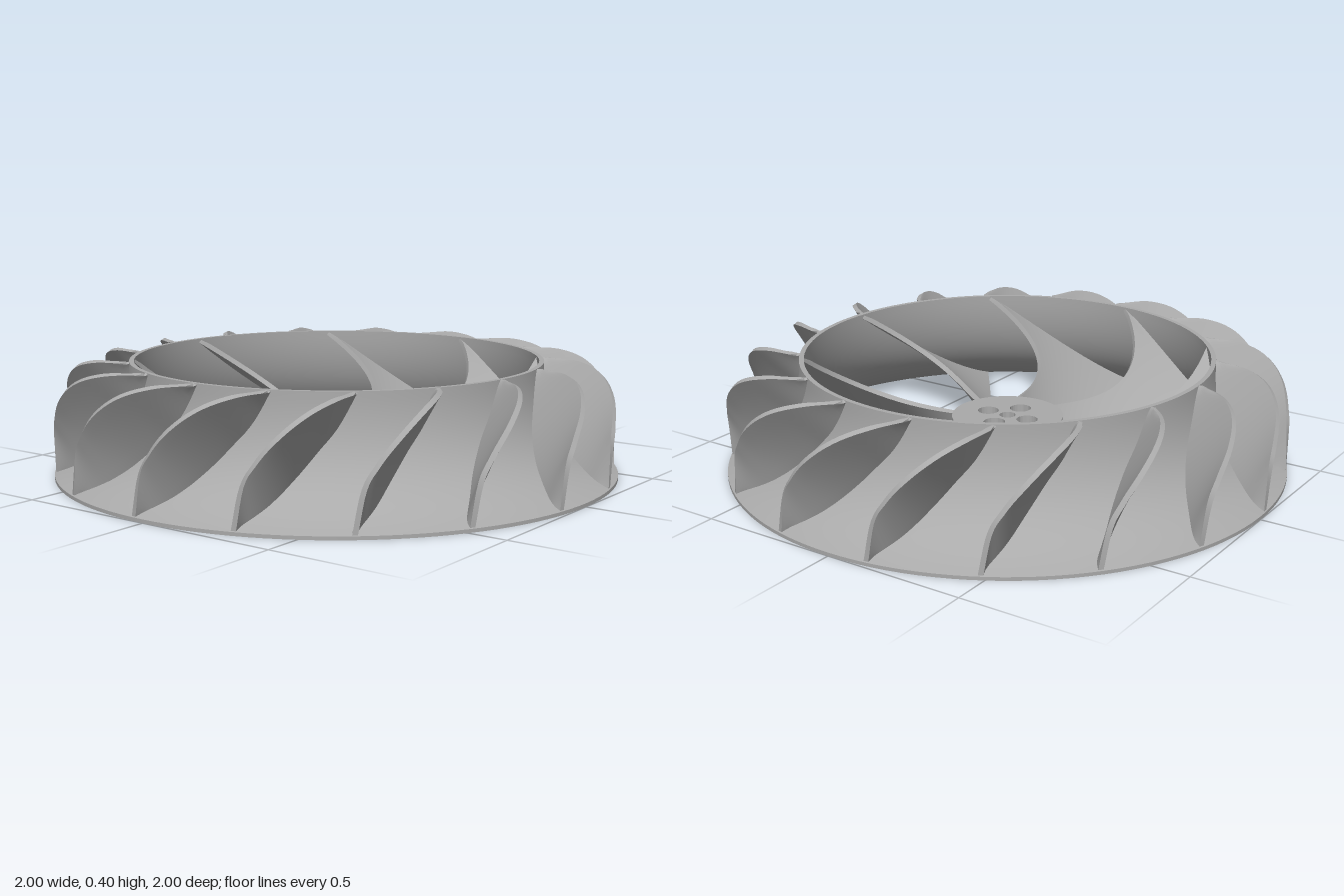
import * as THREE from 'three';
import { toCreasedNormals } from 'three/addons/utils/BufferGeometryUtils.js';

const rad = THREE.MathUtils.degToRad;
const lerp = THREE.MathUtils.lerp;
const HEIGHT = 0.4;

// Curved plate of even thickness around the surface f(u, v)
function plate(f, nu, nv, thickness) {
  const verts = [], index = [], e = 1e-3;
  const W = nv + 1, count = (nu + 1) * W;
  const sides = [[], []];
  for (let i = 0; i <= nu; i++) for (let j = 0; j <= nv; j++) {
    const u = i / nu, v = j / nv;
    const du = f(Math.min(1, u + e), v).sub(f(Math.max(0, u - e), v));
    const dv = f(u, Math.min(1, v + e)).sub(f(u, Math.max(0, v - e)));
    const n = du.cross(dv).normalize();
    [1, -1].forEach((s, k) => {
      const p = f(u, v).addScaledVector(n, s * thickness / 2);
      p.y = THREE.MathUtils.clamp(p.y, 0, HEIGHT);
      sides[k].push(p.x, p.y, p.z);
    });
  }
  verts.push(...sides[0], ...sides[1]);
  const id = (i, j) => i * W + j;
  const quad = (a, b, c, d) => index.push(a, b, c, a, c, d);
  for (let i = 0; i < nu; i++) for (let j = 0; j < nv; j++) {
    const a = id(i, j), b = id(i + 1, j), c = id(i + 1, j + 1), d = id(i, j + 1);
    quad(a, b, c, d);
    quad(d + count, c + count, b + count, a + count);
  }
  // Walls around the border
  const wall = (p, q) => quad(p + count, q + count, q, p);
  for (let i = 0; i < nu; i++) {
    wall(id(i, 0), id(i + 1, 0));
    wall(id(i + 1, nv), id(i, nv));
  }
  for (let j = 0; j < nv; j++) {
    wall(id(nu, j), id(nu, j + 1));
    wall(id(0, j + 1), id(0, j));
  }
  const g = new THREE.BufferGeometry();
  g.setAttribute('position', new THREE.Float32BufferAttribute(verts, 3));
  g.setIndex(index);
  return toCreasedNormals(g, 0.7);
}

const polar = (r, y, phi) => new THREE.Vector3(r * Math.cos(phi), y, r * Math.sin(phi));

export function createModel() {
  const model = new THREE.Group();
  model.name = 'impeller';
  const metal = new THREE.MeshStandardMaterial({ color: 0xaaaaaa });
  metal.name = 'grey metal';
  const add = (geometry, name, parent = model) => {
    const mesh = new THREE.Mesh(geometry, metal);
    mesh.name = name;
    parent.add(mesh);
    return mesh;
  };
  const ringOf = (geometry, count, name) => {
    const group = new THREE.Group();
    group.name = name + 's';
    for (let i = 0; i < count; i++) add(geometry, name, group).rotation.y = i * 2 * Math.PI / count;
    model.add(group);
  };

  // Flared shroud: outer wall up, lip, inner wall down, flat rim
  const V2 = (x, y) => new THREE.Vector2(x, y);
  const outer = new THREE.QuadraticBezierCurve(V2(1, 0.012), V2(0.735, 0.1), V2(0.733, HEIGHT));
  const inner = new THREE.QuadraticBezierCurve(V2(0.955, 0), V2(0.716, 0.09), V2(0.716, HEIGHT));
  const profile = [V2(1, 0), ...outer.getPoints(20), ...inner.getPoints(20).reverse(), V2(1, 0)];
  add(toCreasedNormals(new THREE.LatheGeometry(profile, 120), 0.6), 'shroud');

  // Hub disc with a centre bore and four bolt holes
  const disc = new THREE.Shape().absarc(0, 0, 0.2, 0, Math.PI * 2);
  const hole = (x, y, r) => disc.holes.push(new THREE.Path().absarc(x, y, r, 0, Math.PI * 2, true));
  hole(0, 0, 0.029);
  for (let i = 0; i < 4; i++) hole(0.084 * Math.cos(i * Math.PI / 2), 0.084 * Math.sin(i * Math.PI / 2), 0.038);
  const hub = new THREE.ExtrudeGeometry(disc, { depth: 0.16, bevelEnabled: false, curveSegments: 40 });
  hub.rotateX(-Math.PI / 2);
  add(toCreasedNormals(hub, 0.6), 'hub');

  // Inner fan blades: twisted with height, from the hub to the shroud wall
  const fanBlade = (u, v) => {
    const end = inner.getPoint(v);
    const r = lerp(0.19, end.x + 0.006, u);
    const y = lerp(0.157 * v, end.y, u ** 3);
    return polar(r, y, rad(188.7) - Math.asin(0.047 / r) - rad(113) * y);
  };
  ringOf(plate(fanBlade, 24, 14, 0.018), 8, 'fanBlade');

  // Outer vanes: free edge and root on the shroud, each row [swirl, edge r, edge y, root r, root y]
  const rows = [
    [0, 0.995, 0.004, 0.965, 0.004],
    [1.5, 0.994, 0.14, 0.935, 0.034],
    [4, 0.99, 0.22, 0.885, 0.068],
    [8, 0.976, 0.3, 0.815, 0.13],
    [13, 0.93, 0.365, 0.762, 0.21],
    [18, 0.85, 0.395, 0.738, 0.29],
    [22.7, 0.745, 0.4, 0.727, 0.4],
  ];
  const spline = (a, b, c) => new THREE.CatmullRomCurve3(rows.map(q => new THREE.Vector3(q[a], q[b], q[c])));
  const edge = spline(1, 2, 0), root = spline(3, 4, 0);
  const vane = (u, v) => {
    const p = root.getPoint(u).lerp(edge.getPoint(u), v);
    return polar(p.x, p.y, rad(92.6 - p.z));
  };
  ringOf(plate(vane, 28, 6, 0.017), 17, 'outerVane');

  return model;
}
